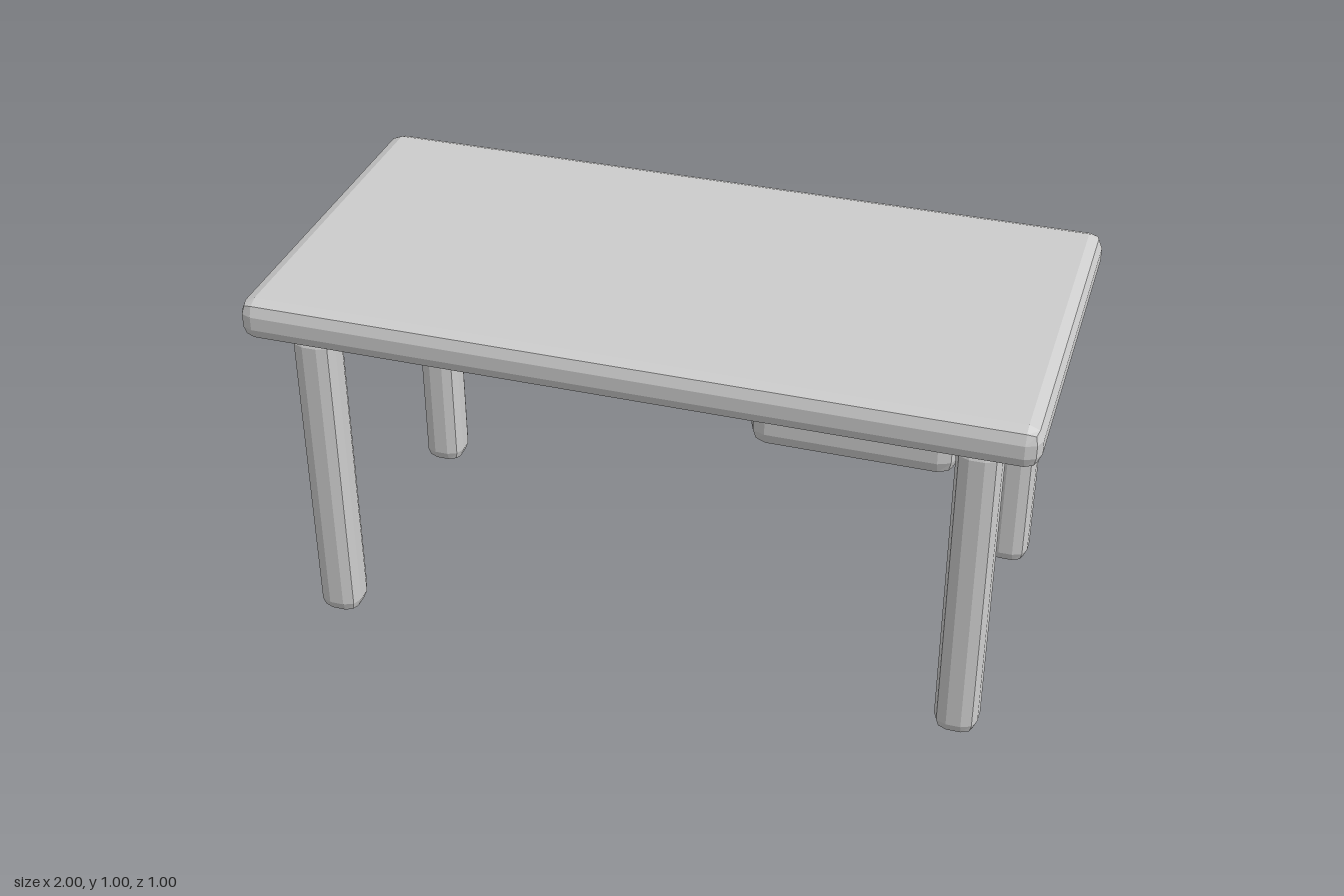
import * as THREE from 'three';
import { RoundedBoxGeometry } from 'three/addons/geometries/RoundedBoxGeometry.js';

export function createModel() {
  const model = new THREE.Group();
  model.name = 'desk';

  const grey = new THREE.MeshStandardMaterial({ color: 0xcccccc, flatShading: true });
  grey.name = 'plain grey';

  // Box with a two-step bevel on every edge
  function bevelBox(name, [w, h, d], [x, y, z], radius) {
    const mesh = new THREE.Mesh(new RoundedBoxGeometry(w, h, d, 1, radius), grey);
    mesh.name = name;
    mesh.position.set(x, y, z);
    model.add(mesh);
  }

  // Slab top
  bevelBox('tableTop', [2, 0.11, 1], [0, 0.945, 0], 0.037);

  // Four legs, mirrored in x and z
  for (const sx of [1, -1]) {
    for (const sz of [1, -1]) {
      const name = (sz > 0 ? 'front' : 'back') + (sx > 0 ? 'Left' : 'Right') + 'Leg';
      bevelBox(name, [0.112, 0.888, 0.112], [sx * 0.848, 0.446, sz * 0.375], 0.037);
    }
  }

  // Drawer box hung under the left side
  bevelBox('drawer', [0.52, 0.186, 0.64], [0.523, 0.797, 0], 0.045);

  return model;
}
